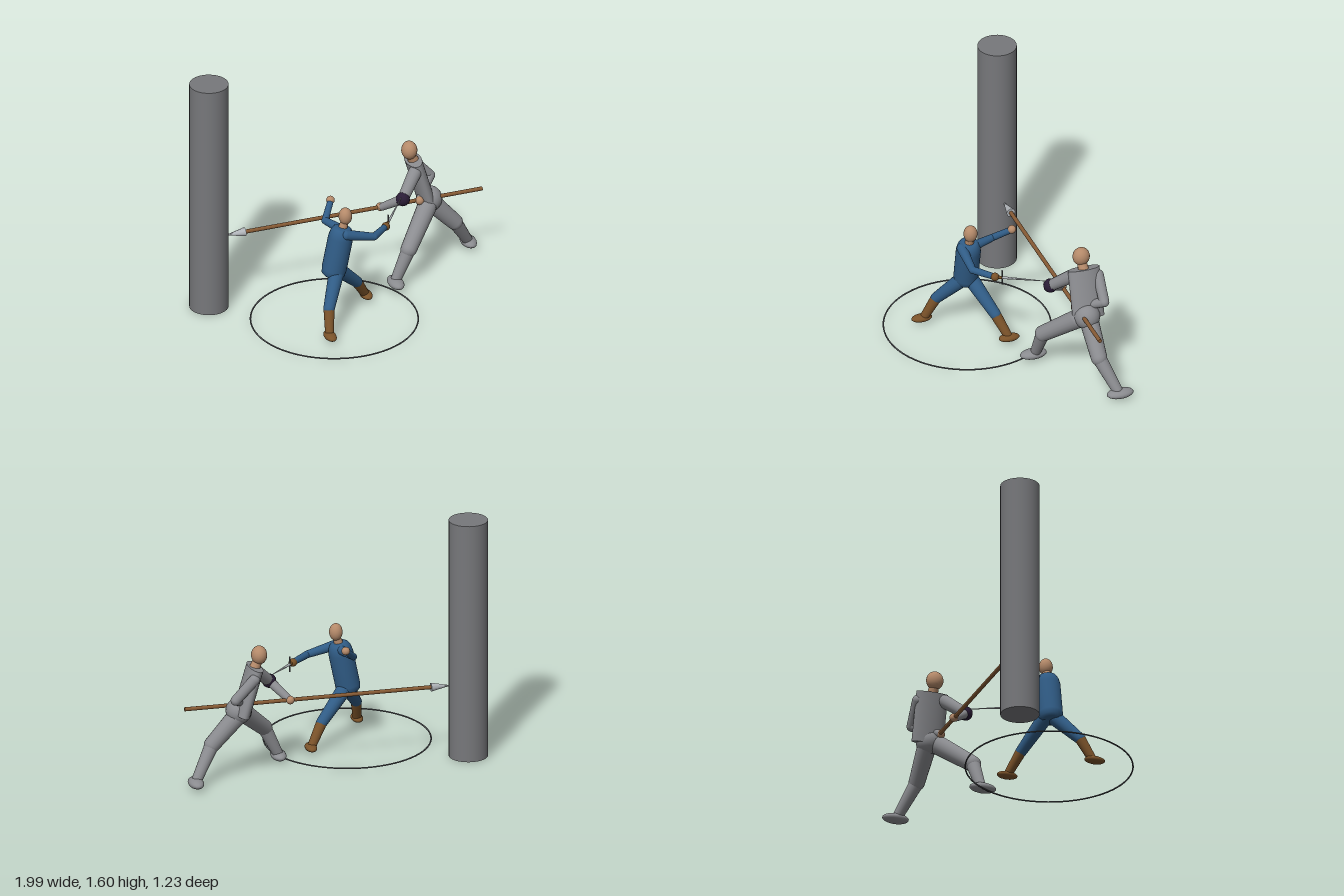
import * as THREE from 'three';

const mat = (name, color) => new THREE.MeshStandardMaterial({ name, color });
const V = (p) => new THREE.Vector3(...p);
const UP = new THREE.Vector3(0, 1, 0);

export function createModel() {
  const root = new THREE.Group();
  root.name = 'duelScene';

  const stone = mat('pillar grey', 0x77787b);
  const armour = mat('armour grey', 0x8b8c90);
  const blue = mat('blue cloth', 0x305c86);
  const leather = mat('leather brown', 0x7a5229);
  const wood = mat('shaft wood', 0x865a34);
  const skin = mat('skin', 0xb58a6a);
  const steel = mat('steel', 0xb4b8bd);
  const iron = mat('dark iron', 0x55575b);
  const shadow = mat('dark purple', 0x2a1c36);

  function add(parent, name, geometry, material, pos) {
    const m = new THREE.Mesh(geometry, material);
    m.name = name;
    if (pos) m.position.set(...pos);
    parent.add(m);
    return m;
  }

  // Places a y-axis geometry so that its origin is at a and it points to b
  function aim(mesh, a, b) {
    mesh.position.copy(V(a));
    mesh.quaternion.setFromUnitVectors(UP, V(b).sub(V(a)).normalize());
    return mesh;
  }

  const dist = (a, b) => V(a).distanceTo(V(b));

  // Straight tapered rod from a to b
  function rod(parent, name, a, b, ra, rb, material, sides = 16) {
    const h = dist(a, b);
    const g = new THREE.CylinderGeometry(rb, ra, h, sides).translate(0, h / 2, 0);
    return aim(add(parent, name, g, material), a, b);
  }

  // Tapered limb with rounded ends
  function limb(parent, name, a, b, ra, rb, material) {
    const h = dist(a, b);
    const pts = [];
    for (let i = 0; i <= 6; i++) {
      const t = (i / 6) * Math.PI / 2;
      pts.push(new THREE.Vector2(ra * Math.sin(t), -ra * Math.cos(t)));
    }
    for (let i = 0; i <= 6; i++) {
      const t = (i / 6) * Math.PI / 2;
      pts.push(new THREE.Vector2(rb * Math.cos(t), h + rb * Math.sin(t)));
    }
    return aim(add(parent, name, new THREE.LatheGeometry(pts, 18), material), a, b);
  }

  function ball(parent, name, pos, r, material) {
    const g = new THREE.SphereGeometry(1, 20, 14);
    g.scale(...(Array.isArray(r) ? r : [r, r, r]));
    return add(parent, name, g, material, pos);
  }

  // Pillar and ground ring
  add(root, 'pillar', new THREE.CylinderGeometry(0.125, 0.125, 1.6, 32), stone, [-0.875, 0.8, -0.378]);
  const ring = add(root, 'groundRing', new THREE.TorusGeometry(0.532, 0.005, 8, 72), iron, [-0.198, 0.008, 0.078]);
  ring.rotation.x = Math.PI / 2;

  // Spear stuck in the pillar
  const spear = new THREE.Group();
  spear.name = 'spear';
  root.add(spear);
  rod(spear, 'spearShaft', [0.98, 0.486, -0.38], [-0.64, 0.486, -0.38], 0.013, 0.013, wood, 12);
  rod(spear, 'spearHead', [-0.63, 0.486, -0.38], [-0.76, 0.486, -0.38], 0.03, 0.001, steel, 8);

  // Swordfighter in blue
  const fencer = new THREE.Group();
  fencer.name = 'fencer';
  root.add(fencer);
  const torsoProfile = [[0, 0], [0.056, 0], [0.074, 0.015], [0.08, 0.05], [0.08, 0.27], [0.073, 0.31], [0.06, 0.335], [0.045, 0.345], [0, 0.345]];
  aim(add(fencer, 'fencerTorso', new THREE.LatheGeometry(torsoProfile.map((p) => new THREE.Vector2(...p)), 24), blue),
    [-0.212, 0.325, 0.085], [-0.143, 0.665, 0.085]);
  rod(fencer, 'fencerNeck', [-0.145, 0.65, 0.085], [-0.13, 0.7, 0.085], 0.03, 0.025, skin);
  ball(fencer, 'fencerHead', [-0.125, 0.736, 0.083], [0.043, 0.057, 0.045], skin);

  const fencerLegs = [
    ['right', [-0.195, 0.36, 0.11], [-0.3, 0.185, 0.25], [-0.323, 0.05, 0.32], [-0.326, 0.04, 0.338]],
    ['left', [-0.18, 0.36, 0.06], [0.0, 0.175, -0.04], [0.075, 0.05, -0.095], [0.084, 0.04, -0.1]],
  ];
  for (const [side, hip, knee, ankle, foot] of fencerLegs) {
    limb(fencer, side + 'Thigh', hip, knee, 0.05, 0.036, blue);
    limb(fencer, side + 'BootShaft', knee, ankle, 0.035, 0.028, leather);
    ball(fencer, side + 'Boot', foot, [0.038, 0.024, 0.069], leather);
  }

  const grip = [0.17, 0.576, 0.028];
  limb(fencer, 'swordUpperArm', [-0.14, 0.628, 0.135], [0.05, 0.58, 0.135], 0.034, 0.024, blue);
  limb(fencer, 'swordForearm', [0.05, 0.58, 0.135], grip, 0.024, 0.02, blue);
  ball(fencer, 'swordGlove', grip, 0.027, leather);
  limb(fencer, 'raisedUpperArm', [-0.15, 0.628, 0.03], [-0.195, 0.627, -0.095], 0.03, 0.023, blue);
  limb(fencer, 'raisedForearm', [-0.195, 0.627, -0.095], [-0.125, 0.702, -0.185], 0.023, 0.02, blue);
  ball(fencer, 'raisedHand', [-0.12, 0.71, -0.195], 0.027, skin);

  // Sword with an upright crossguard
  const sword = new THREE.Group();
  sword.name = 'sword';
  root.add(sword);
  const hilt = [0.2, 0.58, -0.01];
  rod(sword, 'swordGrip', [0.15, 0.573, 0.05], hilt, 0.01, 0.01, leather, 10);
  rod(sword, 'crossguard', [0.2, 0.53, -0.01], [0.2, 0.633, -0.01], 0.005, 0.005, iron, 8);
  rod(sword, 'blade', hilt, [0.375, 0.608, -0.235], 0.009, 0.002, steel, 6);

  // Armoured spearman
  const guard = new THREE.Group();
  guard.name = 'spearman';
  root.add(guard);
  const torso = add(guard, 'spearmanTorso',
    new THREE.CylinderGeometry(1, 1, 0.325, 28).scale(0.05, 1, 0.106), armour, [0.578, 0.598, -0.436]);
  torso.rotation.z = 0.28;
  ball(guard, 'pelvis', [0.635, 0.46, -0.42], [0.085, 0.085, 0.085], armour);
  rod(guard, 'spearmanNeck', [0.54, 0.74, -0.435], [0.51, 0.8, -0.43], 0.035, 0.03, skin);
  ball(guard, 'spearmanHead', [0.505, 0.83, -0.43], [0.051, 0.061, 0.056], skin);

  const guardLegs = [
    ['front', [0.6, 0.43, -0.37], [0.415, 0.245, -0.205], [0.325, 0.06, -0.19], [0.316, 0.04, -0.177]],
    ['back', [0.64, 0.44, -0.43], [0.815, 0.25, -0.435], [0.93, 0.06, -0.515], [0.943, 0.04, -0.53]],
  ];
  for (const [side, hip, knee, ankle, foot] of guardLegs) {
    limb(guard, side + 'Thigh', hip, knee, 0.062, 0.052, armour);
    limb(guard, side + 'Shin', knee, ankle, 0.046, 0.034, armour);
    ball(guard, side + 'Foot', foot, [0.049, 0.031, 0.089], armour);
  }

  // Leading arm with a dark elbow cuff, both hands on the spear
  const elbow = [0.397, 0.582, -0.262];
  limb(guard, 'leadUpperArm', [0.515, 0.7, -0.36], elbow, 0.044, 0.036, armour);
  limb(guard, 'leadForearm', elbow, [0.3, 0.492, -0.37], 0.032, 0.025, armour);
  ball(guard, 'leadHand', [0.29, 0.486, -0.384], 0.027, skin);
  const cuff = new THREE.SphereGeometry(0.046, 12, 8);
  add(guard, 'elbowCuff', cuff, shadow, elbow);
  limb(guard, 'rearUpperArm', [0.56, 0.7, -0.525], [0.68, 0.57, -0.52], 0.036, 0.033, armour);
  limb(guard, 'rearForearm', [0.68, 0.57, -0.52], [0.56, 0.49, -0.385], 0.032, 0.025, armour);
  ball(guard, 'rearHand', [0.553, 0.486, -0.372], 0.028, skin);

  return root;
}
